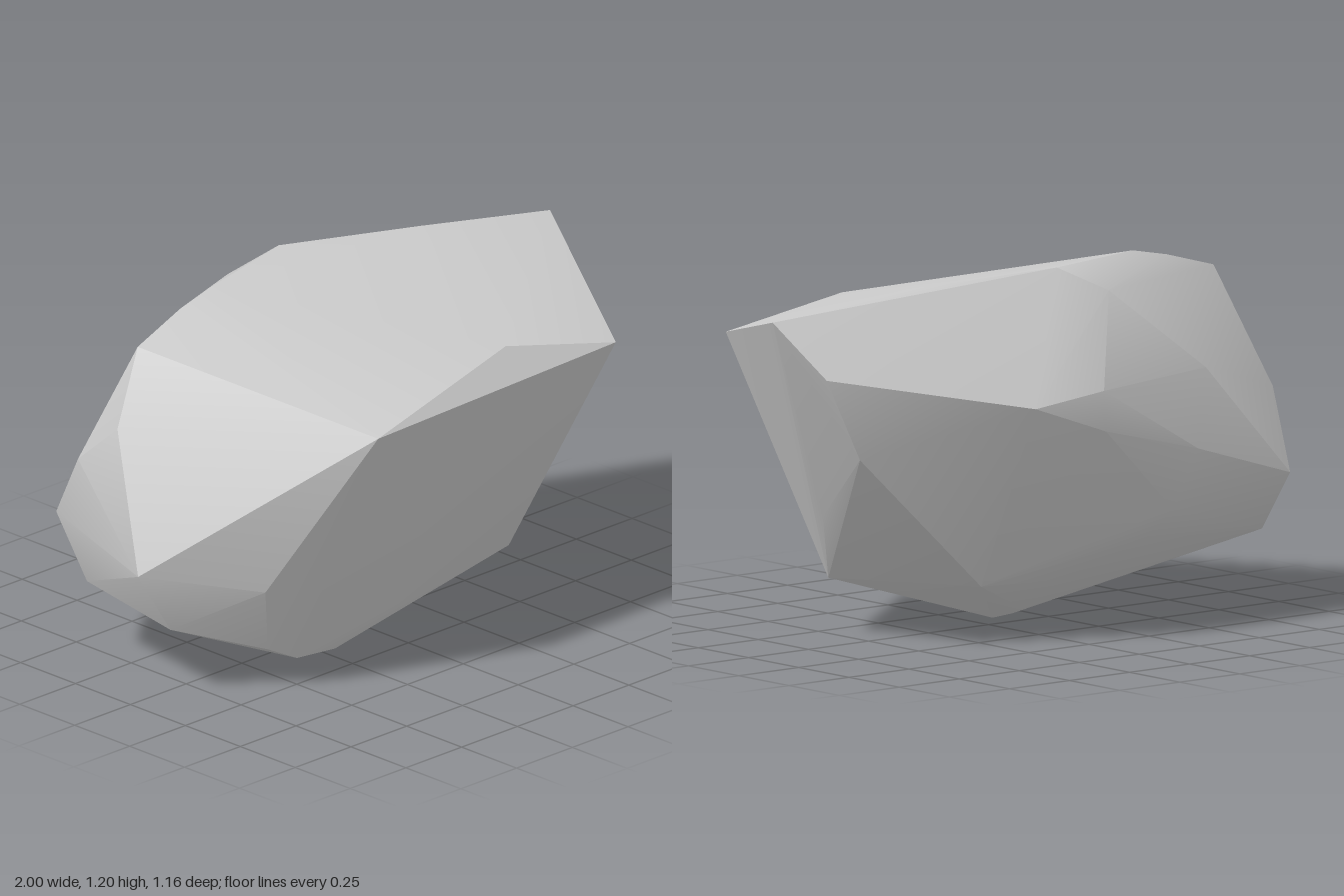
import * as THREE from 'three';
import { ConvexGeometry } from 'three/addons/geometries/ConvexGeometry.js';
import { toCreasedNormals } from 'three/addons/utils/BufferGeometryUtils.js';

// Corners of the boulder, grouped by region: [x, y, z]
const frontFace = [
  [-0.46, 0.93, 0.58], [0.63, 0.945, 0.555], [0.5, 0.18, 0.2],
  [-0.7, 0.39, 0.31], [-0.6, 0.14, 0.22],
];
const top = [
  [0.2, 1.035, 0.49], [-0.77, 1.11, -0.2], [-0.55, 1.17, -0.23],
  [-0.4, 1.2, -0.24], [0, 1.2, -0.34], [0.5, 1.165, -0.2],
];
const leftEnd = [
  [1, 1.1, -0.12], [0.9, 0.92, -0.27], [0.77, 0.65, -0.28], [0.64, 0.41, 0.06],
];
const rightEnd = [
  [-1, 0.45, 0.035], [-0.91, 0.88, -0.15], [-0.9, 0.72, -0.34],
  [-0.83, 0.47, -0.51], [-0.83, 0.27, -0.37], [-0.87, 0.235, 0.05],
];
const back = [
  [0.28, 0.8, -0.57], [0, 0.83, -0.575], [0, 0.7, -0.585], [-0.4, 0.6, -0.565],
  [-0.35, 0.4, -0.5], [-0.3, 0.3, -0.42], [-0.47, 0.85, -0.52], [-0.15, 1.12, -0.42],
];
const underside = [
  [-0.43, 0.05, 0.18], [-0.2, 0.005, 0.11], [0, 0.025, -0.02],
  [-0.05, 0.06, -0.11], [0.24, 0.18, -0.25], [-0.08, 0.17, -0.26], [-0.2, 0, 0.12],
];

export function createModel() {
  const group = new THREE.Group();
  group.name = 'rock';
  const corners = [frontFace, top, leftEnd, rightEnd, back, underside]
    .flat().map((p) => new THREE.Vector3(...p));
  // Soft shading over the worn back, crisp edges around the broken faces
  const geometry = toCreasedNormals(new ConvexGeometry(corners), 0.4);
  const boulder = new THREE.Mesh(geometry, new THREE.MeshStandardMaterial({ color: 0xcccccc }));
  boulder.name = 'boulder';
  group.add(boulder);
  return group;
}
